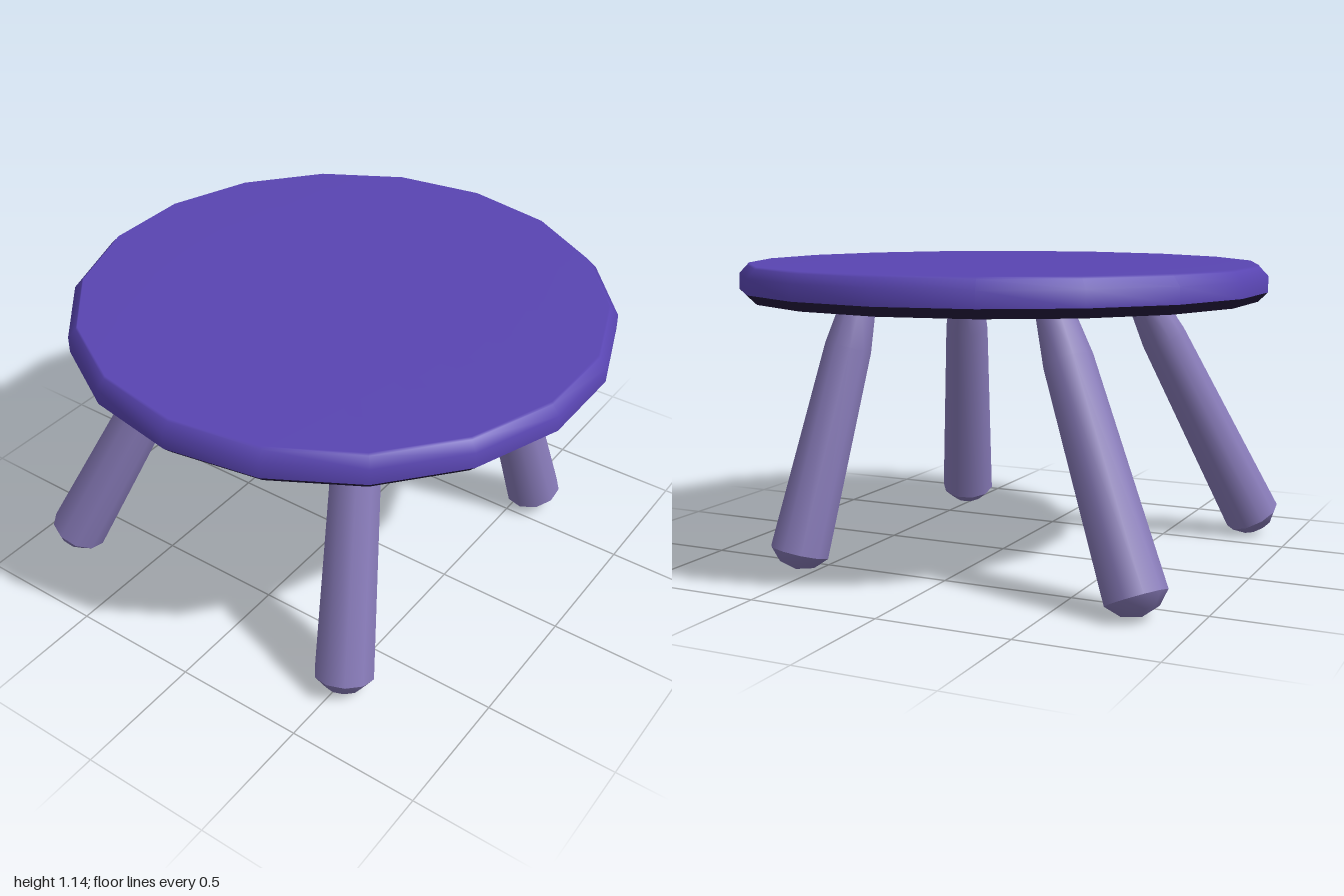
import * as THREE from 'three';
import { toCreasedNormals } from 'three/addons/utils/BufferGeometryUtils.js';

const seatPurple = new THREE.MeshStandardMaterial({ name: 'seatPurple', color: 0x5945b2 });
const undersideDark = new THREE.MeshStandardMaterial({ name: 'undersideDark', color: 0x241a3e });
const legLilac = new THREE.MeshStandardMaterial({ name: 'legLilac', color: 0x887bb9 });

// Turned shape from [radius, height] pairs listed bottom to top
function turned(profile, sides) {
  const points = profile.map(([r, y]) => new THREE.Vector2(r, y));
  return new THREE.LatheGeometry(points, sides, Math.PI / 2);
}

// Tapered, splayed leg with a rounded foot cap, running from foot to top
function makeLeg(name, foot, top) {
  const leg = new THREE.Group();
  leg.name = name;
  leg.position.set(...foot);
  const axis = new THREE.Vector3(...top).sub(leg.position);
  const length = axis.length();
  const shaft = new THREE.Mesh(
    turned([[0.112, 0], [0.09, length * 0.81], [0.066, length], [0.05, length + 0.06]], 10), legLilac);
  shaft.name = 'legShaft';
  const cap = new THREE.Mesh(turned([[0, -0.066], [0.068, -0.046], [0.112, 0]], 10), legLilac);
  cap.name = 'footCap';
  leg.add(shaft, cap);
  leg.quaternion.setFromUnitVectors(new THREE.Vector3(0, 1, 0), axis.normalize());
  return leg;
}

export function createModel() {
  const stool = new THREE.Group();
  stool.name = 'stool';

  // Round seat with a softened upper rim
  const seat = new THREE.Mesh(
    turned([[1, 1.035], [1, 1.095], [0.97, 1.127], [0.964, 1.135], [0.4, 1.135], [0, 1.135]], 18), seatPurple);
  seat.name = 'seat';

  // Dark bevelled underside
  const underside = new THREE.Mesh(
    toCreasedNormals(turned([[0, 1], [0.965, 1], [1, 1.035]], 18), 0.6), undersideDark);
  underside.name = 'seatUnderside';

  // The seat is very slightly deeper than a regular polygon
  for (const part of [seat, underside]) part.scale.z = 1.01;
  stool.add(seat, underside);

  // Four legs, each splayed slightly differently
  const legs = [
    ['frontRightLeg', [-0.72, 0.064, 0.52], [-0.43, 1, 0.375]],
    ['frontLeftLeg', [0.605, 0.064, 0.56], [0.375, 1, 0.42]],
    ['backRightLeg', [-0.697, 0.066, -0.822], [-0.385, 1, -0.43]],
    ['backLeftLeg', [0.627, 0.066, -0.785], [0.408, 1, -0.385]],
  ];
  for (const [name, foot, top] of legs) stool.add(makeLeg(name, foot, top));

  return stool;
}
